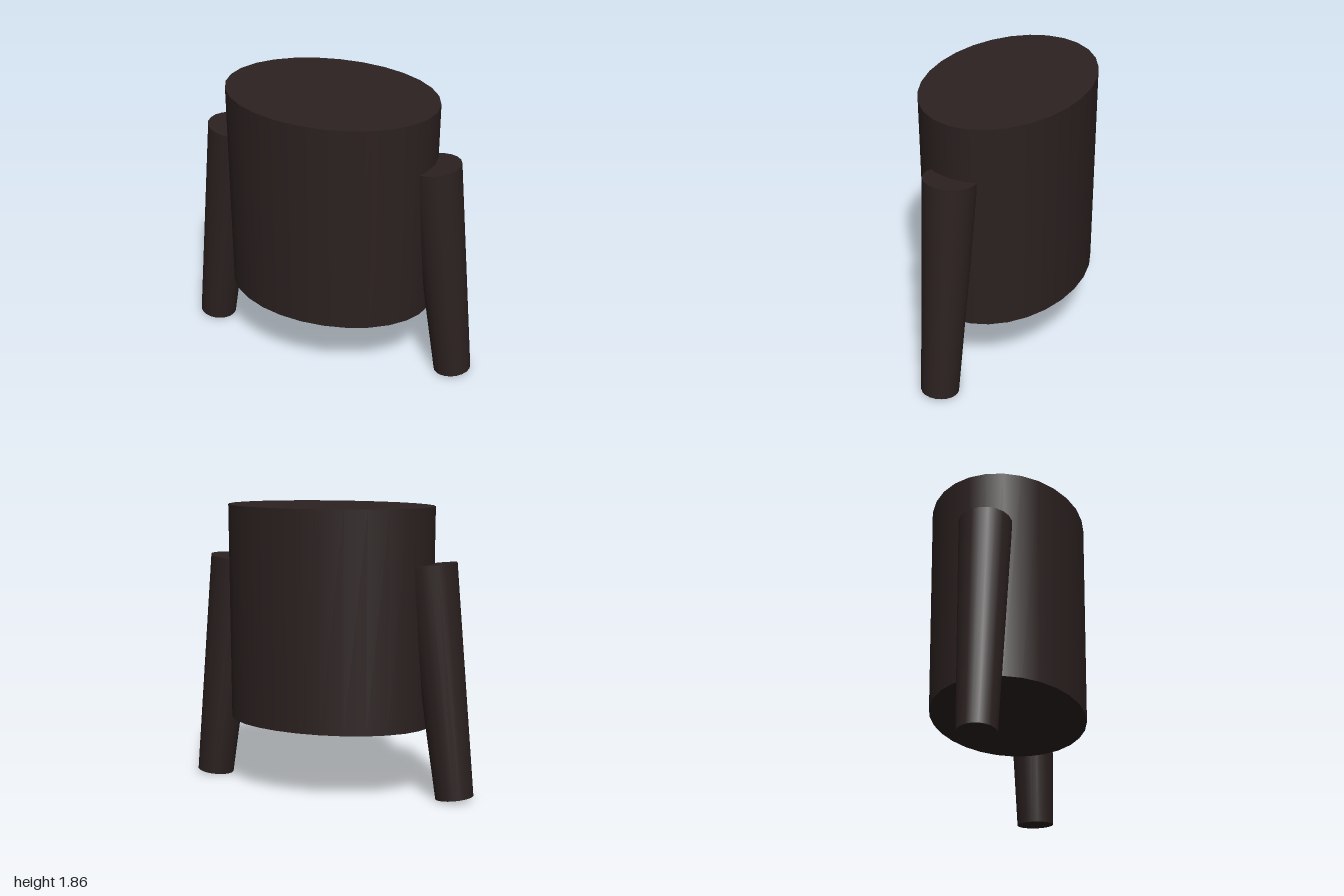
import * as THREE from 'three';

export function createModel() {
  const group = new THREE.Group();
  const darkBrown = new THREE.MeshStandardMaterial({ color: 0x2b2120 });
  darkBrown.name = 'darkBrown';

  // Oval torso, very slightly narrower at the hem
  const torso = new THREE.Mesh(new THREE.CylinderGeometry(0.704, 0.692, 1.415, 28), darkBrown);
  torso.name = 'torso';
  torso.scale.z = 0.72;
  torso.position.y = 1.158;
  group.add(torso);

  // Tapered sleeves, leaning outwards at the cuffs
  for (const side of [1, -1]) {
    const sleeve = new THREE.Mesh(new THREE.CylinderGeometry(0.17, 0.123, 1.5, 20), darkBrown);
    sleeve.name = side > 0 ? 'leftSleeve' : 'rightSleeve';
    sleeve.position.set(side * 0.789, 0.76, 0);
    sleeve.rotation.z = side * 0.12;
    group.add(sleeve);
  }
  return group;
}
